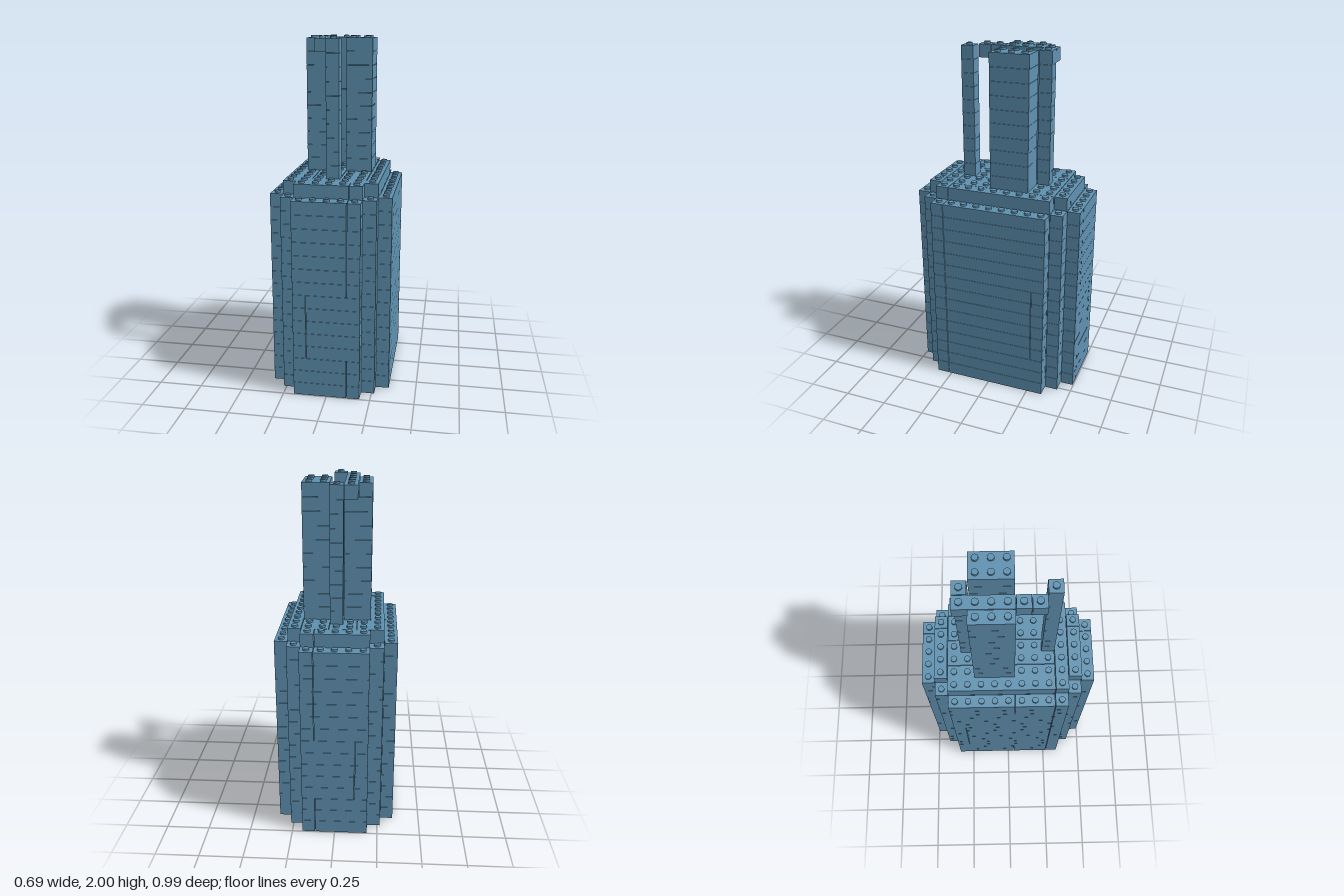
import * as THREE from 'three';
import { mergeGeometries } from 'three/addons/utils/BufferGeometryUtils.js';

const P = 0.0765;        // stud pitch and layer height
const GAP = 0.003;       // seam between neighbouring bricks
const STUD_R = 0.0178, STUD_H = 0.011;

// Brick covering whole cells x0..x1, z0..z1 of one layer (cell 0 is centred)
function brick([x0, x1, z0, z1], layer) {
  const g = new THREE.BoxGeometry((x1 - x0 + 1) * P - GAP, P - 0.0015, (z1 - z0 + 1) * P - GAP);
  return g.translate((x0 + x1) / 2 * P, (layer + 0.5) * P, (z0 + z1) / 2 * P);
}

// Stud standing on top of a layer
function stud(x, z, layer) {
  return new THREE.CylinderGeometry(STUD_R, STUD_R, STUD_H + 0.001, 16)
    .translate(x * P, (layer + 1) * P + STUD_H / 2 - 0.0005, z * P);
}

// Split a run of side cells at the given last cells
function sideColumn(x, cuts) {
  const ends = [...cuts, 3];
  let z = -4;
  return ends.map(e => { const r = [x, x, z, e]; z = e + 1; return r; });
}

// One layer of the stepped body
function bodyLayer(layer) {
  const split = layer > 2 && layer < 8 ? -2 : 1;
  const middle = layer > 2 && layer < 9;
  const rects = [];
  for (const s of [-1, 1]) {
    rects.push([-2, split, 6 * s, 6 * s], [split + 1, 2, 6 * s, 6 * s], [-3, 3, 5 * s, 5 * s]);
  }
  rects.push([-4, 4, 4, 4], [-3, -3, -4, 3], [-2, -1, -4, 3], [0, 2, -4, 3], [3, 3, -4, 3]);
  rects.push(...sideColumn(4, middle ? [-4] : []));
  rects.push(...sideColumn(-4, middle ? [-4] : layer < 2 || layer > 12 ? [0] : []));
  return rects;
}

// Inset plate layer on the body
const shoulder = [
  [-2, 1, 5, 5], [2, 2, 5, 5], [-2, 1, -5, -5], [2, 2, -5, -5], [-3, 3, 4, 4],
  [-3, -2, -4, 3], [-1, 0, -4, 3], [1, 2, -4, 3], [3, 3, -4, 3],
];

// Tower footprints, and the top layer with its long overhanging beam
const towers = {
  leftBlock: [1, 2, -2, 0],
  rightBlock: [-2, -1, -2, 0],
  frontPost: [0, 0, 3, 3],
  backPost: [0, 0, -3, -3],
};
const beam = [[-1, -1, -3, 0], [-1, -1, 1, 1], [-1, -1, 2, 2]];

const covers = (rects, x, z) => rects.some(([a, b, c, d]) => x >= a && x <= b && z >= c && z <= d);

// Studs on every cell of rects that is not covered by the layer above
function studs(rects, above, layer) {
  const list = [];
  for (let x = -4; x <= 4; x++) {
    for (let z = -6; z <= 6; z++) {
      if (covers(rects, x, z) && !covers(above, x, z)) list.push(stud(x, z, layer));
    }
  }
  return list;
}

export function createModel() {
  const model = new THREE.Group();
  model.name = 'brickTower';
  const blue = new THREE.MeshStandardMaterial({ color: 0x5f91b0 });
  blue.name = 'sandBlue';

  const add = (parent, name, geometries) => {
    const mesh = new THREE.Mesh(mergeGeometries(geometries), blue);
    mesh.name = name;
    parent.add(mesh);
  };

  // Body: fifteen stepped layers
  const body = new THREE.Group();
  body.name = 'body';
  model.add(body);
  for (let i = 0; i < 15; i++) add(body, 'bodyLayer', bodyLayer(i).map(r => brick(r, i)));
  add(body, 'bodyStuds', studs(bodyLayer(14), shoulder, 14));

  // Shoulder layer
  const feet = Object.values(towers);
  add(model, 'shoulder', shoulder.map(r => brick(r, 15)));
  add(model, 'shoulderStuds', studs(shoulder, feet, 15));

  // Blocks and posts; the right block narrows on its last layer for the beam
  for (const [name, rect] of Object.entries(towers)) {
    const bricks = [];
    for (let i = 16; i < 26; i++) {
      const narrow = name === 'rightBlock' && i === 25;
      bricks.push(brick(narrow ? [-2, -2, -2, 0] : rect, i));
    }
    add(model, name, bricks);
  }

  // Top beam and top studs
  add(model, 'topBeam', beam.map(r => brick(r, 25)));
  add(model, 'towerStuds', studs([...feet, ...beam], [], 25));
  return model;
}
